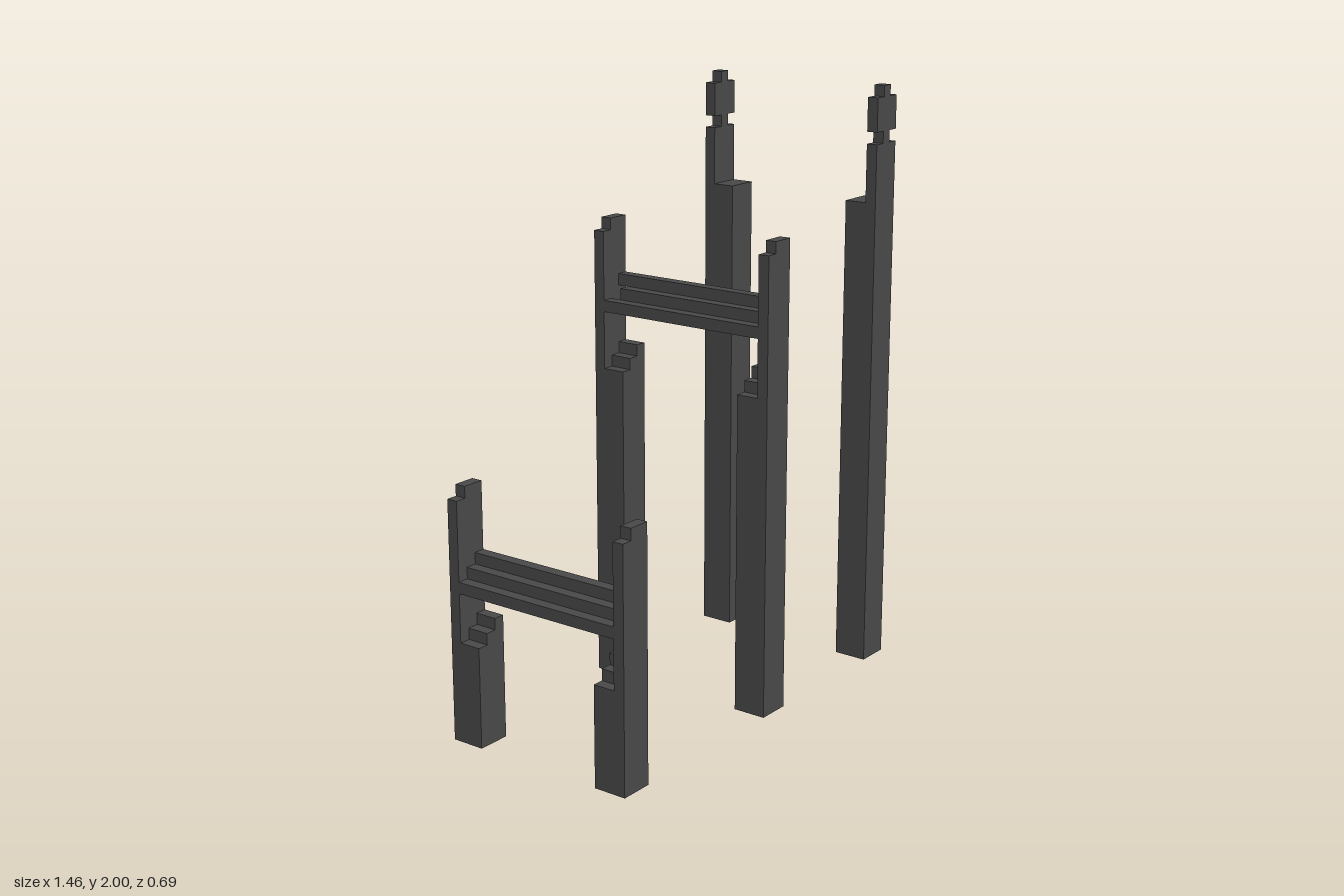
import * as THREE from 'three';

const U = 0.0385;            // joint module: a post is 3 x 3 modules
const W = 3 * U;
const OUT = 0.347;           // outer face of the posts along z
const SPLIT = OUT - U;       // outer plate / inner post boundary
const INNER = OUT - W;

export function createModel() {
  const model = new THREE.Group();
  model.name = 'postFrames';
  const darkWood = new THREE.MeshStandardMaterial({ color: 0x484848 });
  darkWood.name = 'charcoal';

  // Extrude an x-y outline between two depths
  function slab(parent, name, points, z0, z1) {
    const shape = new THREE.Shape(points.map(([x, y]) => new THREE.Vector2(x, y)));
    const geo = new THREE.ExtrudeGeometry(shape, { depth: z1 - z0, bevelEnabled: false });
    const mesh = new THREE.Mesh(geo, darkWood);
    mesh.name = name;
    mesh.position.z = z0;
    parent.add(mesh);
  }

  // Matching front and back posts: outer plate plus inner post
  function postPair(parent, plate, inner) {
    for (const [side, s] of [['front', 1], ['back', -1]]) {
      const span = (a, b) => (s > 0 ? [a, b] : [-b, -a]);
      slab(parent, side + 'PostPlate', plate, ...span(SPLIT, OUT));
      slab(parent, side + 'PostInner', inner, ...span(INNER, SPLIT));
    }
  }

  // Short and middle frames: notched posts joined by a stepped rail
  const frames = [
    { name: 'shortFrame', x: -0.73, top: 0.848, seat: 0.34, rail: 0.505, midBack: -SPLIT },
    { name: 'middleFrame', x: 0, top: 1.58, seat: 1.08, rail: 1.273, midBack: -SPLIT + U },
  ];
  for (const f of frames) {
    const g = new THREE.Group();
    g.name = f.name;
    g.position.x = f.x;
    model.add(g);

    const plate = [[0, 0], [W, 0], [W, f.top], [U, f.top], [U, f.top - U], [0, f.top - U]];
    const y = f.seat;
    const inner = [[0, 0], [W, 0], [W, y + 2 * U], [2 * U, y + 2 * U], [2 * U, y + U],
      [U, y + U], [U, y], [0, y]];
    postPair(g, plate, inner);

    // Three bars climbing diagonally towards +x
    for (let i = 0; i < 3; i++) {
      const z0 = i === 1 ? f.midBack : -SPLIT;
      const bar = new THREE.Mesh(new THREE.BoxGeometry(U, U, SPLIT - z0), darkWood);
      bar.name = 'railBar' + (i + 1);
      bar.position.set((i + 0.5) * U, f.rail + (i + 0.5) * U, (SPLIT + z0) / 2);
      g.add(bar);
    }
  }

  // Tall posts with a necked tenon at the top
  const tall = new THREE.Group();
  tall.name = 'tallPosts';
  tall.position.x = 0.73 - W;
  model.add(tall);
  const right = [[W, 1.81], [2 * U, 1.81], [2 * U, 1.85], [W, 1.85], [W, 1.963],
    [2 * U, 1.963], [2 * U, 2]];
  const left = right.map(([x, y]) => [W - x, y]).reverse();
  postPair(tall, [[0, 0], [W, 0], ...right, ...left],
    [[0, 0], [W, 0], [W, 1.615], [0, 1.615]]);

  return model;
}
